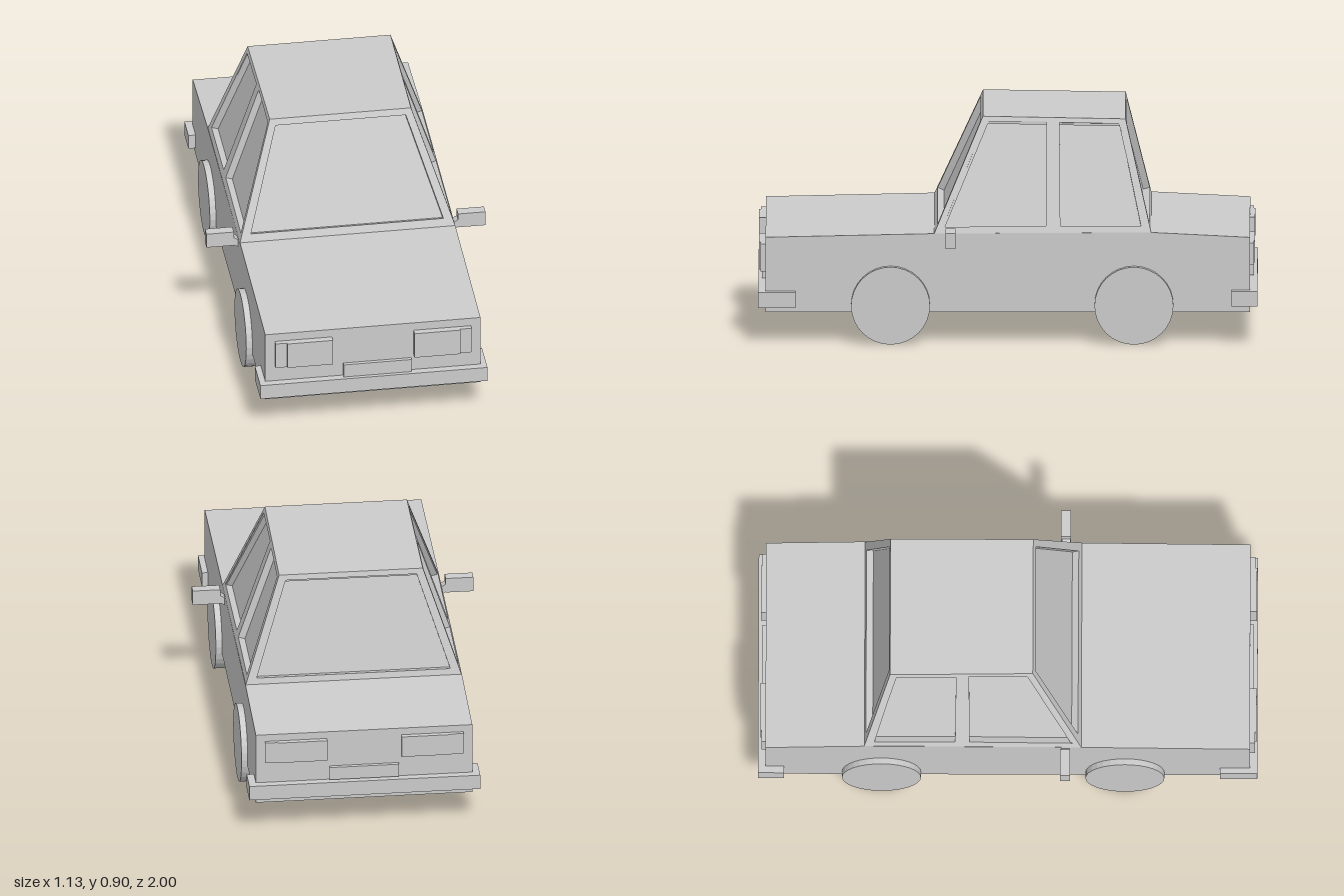
import * as THREE from 'three';

const mat = new THREE.MeshStandardMaterial({ color: 0xcccccc, flatShading: true });
const V = (x, y, z) => new THREE.Vector3(x, y, z);

function addMesh(parent, name, geometry) {
  const mesh = new THREE.Mesh(geometry, mat);
  mesh.name = name;
  parent.add(mesh);
  return mesh;
}

// Box given by its minimum and maximum on each axis
function addBox(parent, name, [x0, x1], [y0, y1], [z0, z1]) {
  const mesh = addMesh(parent, name, new THREE.BoxGeometry(x1 - x0, y1 - y0, z1 - z0));
  mesh.position.set((x0 + x1) / 2, (y0 + y1) / 2, (z0 + z1) / 2);
}

// Flat panel through corners (anticlockwise from outside), with recessed windows
function addPanel(parent, name, corners, windows = [], depth = 0.03) {
  const [a, b, , d] = corners;
  const u = b.clone().sub(a).normalize();
  const n = u.clone().cross(d.clone().sub(a)).normalize();
  const v = n.clone().cross(u);
  const flat = (pts) => pts.map((p) => {
    const q = p.clone().sub(a);
    return new THREE.Vector2(q.dot(u), q.dot(v));
  });
  const group = new THREE.Group();
  group.name = name;
  group.matrix.makeBasis(u, v, n).setPosition(a.clone().addScaledVector(n, -depth));
  group.matrix.decompose(group.position, group.quaternion, group.scale);
  const shape = new THREE.Shape(flat(corners));
  for (const w of windows) {
    shape.holes.push(new THREE.Path(flat(w)));
    const glass = addMesh(group, 'windowGlass', new THREE.ShapeGeometry(new THREE.Shape(flat(w))));
    glass.position.z = 0.002;
  }
  addMesh(group, name + 'Frame', new THREE.ExtrudeGeometry(shape, { depth, bevelEnabled: false }));
  parent.add(group);
}

// Outline in (z, y) extruded across the width
function profileAcross(points, halfWidth) {
  const shape = new THREE.Shape(points.map(([z, y]) => new THREE.Vector2(-z, y)));
  const g = new THREE.ExtrudeGeometry(shape, { depth: halfWidth * 2, bevelEnabled: false });
  return g.translate(0, 0, -halfWidth).rotateY(Math.PI / 2);
}

export function createModel() {
  const car = new THREE.Group();
  car.name = 'car';

  // Lower body with gently sloping bonnet and boot
  addMesh(car, 'body', profileAcross([
    [0.97, 0.13], [-0.97, 0.13], [-0.97, 0.435], [-0.575, 0.455], [0.295, 0.45], [0.97, 0.435],
  ], 0.436));

  // Cabin planes: half width, windscreen z and rear window z at a height
  const cabin = new THREE.Group();
  cabin.name = 'cabin';
  car.add(cabin);
  const side = (y) => 0.436 - (y - 0.45) / 3;
  const front = (y) => 0.295 - (y - 0.45) * 0.433;
  const rear = (y) => -0.575 + (y - 0.45) * 0.236;
  const base = 0.45, topF = 0.9, topR = 0.89;
  const across = (s, x0, y0, x1, y1, z) => [
    V(-s * x0, y0, z(y0)), V(s * x0, y0, z(y0)), V(s * x1, y1, z(y1)), V(-s * x1, y1, z(y1)),
  ];
  addPanel(cabin, 'windscreen', across(1, side(base), base, side(topF), topF, front),
    [across(1, 0.39, 0.48, 0.264, 0.875, front)]);
  addPanel(cabin, 'rearWindow', across(-1, side(base), base, side(topR), topR, rear),
    [across(-1, 0.39, 0.48, 0.264, 0.868, rear)]);
  addPanel(cabin, 'roof', [
    V(-side(topF), topF, front(topF)), V(side(topF), topF, front(topF)),
    V(side(topR), topR, rear(topR)), V(-side(topR), topR, rear(topR)),
  ]);
  for (const s of [1, -1]) {
    const onSide = (pts) => pts.map(([z, y]) => V(s * side(y), y, z));
    const outline = onSide([
      [front(base), base], [rear(base), base], [rear(topR), topR], [front(topF), topF],
    ]);
    if (s < 0) outline.splice(0, 4, outline[1], outline[0], outline[3], outline[2]);
    addPanel(cabin, s > 0 ? 'leftSide' : 'rightSide', outline, [
      onSide([[0.26, 0.475], [-0.152, 0.48], [-0.155, 0.88], [0.09, 0.88]]),
      onSide([[-0.21, 0.48], [-0.533, 0.48], [-0.448, 0.872], [-0.207, 0.876]]),
    ]);
  }

  // Bumpers and number plates
  addBox(car, 'frontBumper', [-0.46, 0.46], [0.152, 0.215], [0.85, 1]);
  addBox(car, 'rearBumper', [-0.465, 0.465], [0.158, 0.22], [-1, -0.895]);
  addBox(car, 'frontPlate', [-0.12, 0.155], [0.21, 0.272], [0.96, 0.985]);
  addBox(car, 'rearPlate', [-0.14, 0.14], [0.225, 0.28], [-0.985, -0.96]);

  for (const s of [1, -1]) {
    const sx = (a, b) => (s > 0 ? [a, b] : [-b, -a]);

    // Lamps with outer indicators
    addBox(car, 'headlight', sx(0.165, 0.35), [0.287, 0.4], [0.96, 0.997]);
    addBox(car, 'frontIndicator', sx(0.35, 0.397), [0.287, 0.4], [0.96, 0.99]);
    addBox(car, 'tailLight', sx(0.15, 0.35), [0.315, 0.405], [-0.99, -0.96]);
    addBox(car, 'rearIndicator', sx(0.35, 0.4), [0.315, 0.405], [-0.985, -0.96]);

    // Door mirror on a slanted stem
    addBox(car, 'mirror', sx(0.454, 0.565), [0.412, 0.475], [0.21, 0.25]);
    const stem = new THREE.Shape([[0.42, 0.412], [0.436, 0.402], [0.456, 0.414], [0.456, 0.448], [0.42, 0.425]]
      .map(([x, y]) => new THREE.Vector2(s * x, y)));
    addMesh(car, 'mirrorStem', new THREE.ExtrudeGeometry(stem, { depth: 0.034, bevelEnabled: false }))
      .position.z = 0.214;

    // Wheels
    for (const z of [0.47, -0.505]) {
      const wheel = addMesh(car, 'wheel', new THREE.CylinderGeometry(0.158, 0.158, 0.12, 32).rotateZ(Math.PI / 2));
      wheel.position.set(s * 0.401, 0.16, z);
    }
  }

  // Rest the wheels on the ground
  const bottom = new THREE.Box3().setFromObject(car).min.y;
  for (const part of car.children) part.position.y -= bottom;
  return car;
}
